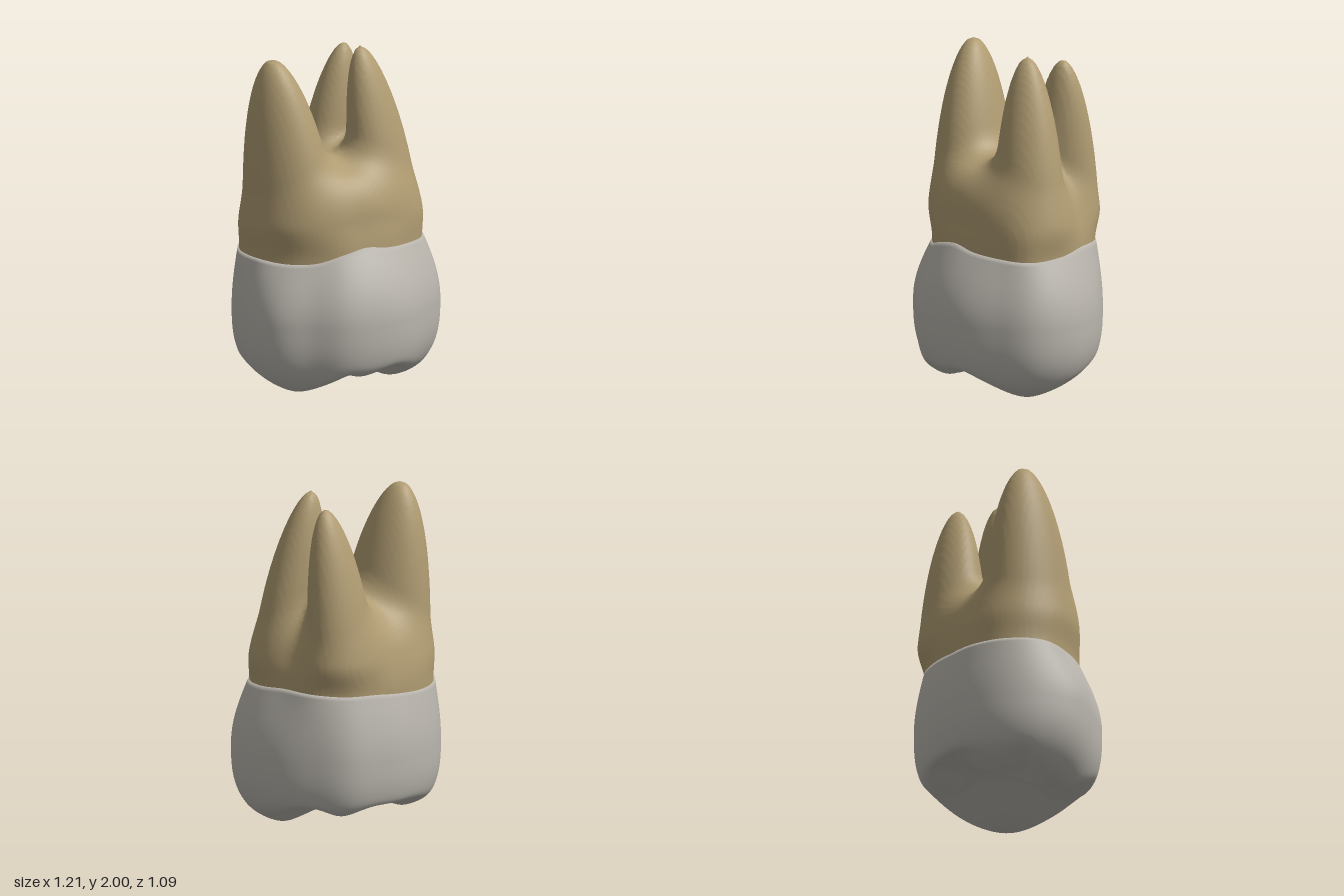
import * as THREE from 'three';

const { lerp, clamp, smoothstep } = THREE.MathUtils;
const TAU = Math.PI * 2;

// Outline radii and neck line heights every 22.5 degrees, from +x towards +z
const BULGE = [0.6, 0.635, 0.63, 0.565, 0.54, 0.525, 0.53, 0.53, 0.6, 0.605, 0.6, 0.575, 0.545, 0.54, 0.57, 0.57];
const NECK = [0.51, 0.525, 0.53, 0.45, 0.4, 0.38, 0.4, 0.43, 0.485, 0.55, 0.565, 0.53, 0.48, 0.475, 0.51, 0.53];
const NECK_LINE = [0.88, 0.86, 0.85, 0.86, 0.875, 0.9, 0.875, 0.83, 0.82, 0.83, 0.82, 0.82, 0.83, 0.85, 0.86, 0.875];

// Periodic cubic interpolation of a table around the tooth
function around(table, angle) {
  const n = table.length;
  const s = ((angle / TAU) % 1 + 1) % 1 * n;
  const i = Math.floor(s), t = s - i;
  const [a, b, c, d] = [-1, 0, 1, 2].map(k => table[(i + k + n) % n]);
  return b + 0.5 * t * (c - a + t * (2 * a - 5 * b + 4 * c - d + t * (3 * (b - c) + d - a)));
}

// Smooth minimum and maximum for soft blends
function smin(a, b, k) {
  const h = Math.max(k - Math.abs(a - b), 0) / k;
  return Math.min(a, b) - h * h * k / 4;
}
const smax = (a, b, k) => -smin(-a, -b, k);

// Chewing surface: each cusp is a rounded cone, the valleys between are grooves
const CUSPS = [
  { x: 0.28, y: 0.0, z: 0.22 },
  { x: -0.4, y: 0.01, z: 0.01 },
  { x: -0.24, y: 0.085, z: -0.28 },
  { x: 0.3, y: 0.13, z: -0.27 },
  { x: -0.16, y: 0.125, z: 0.3 },
];
function chewingHeight(x, z) {
  let h = 0.2;
  for (const c of CUSPS) {
    const d = Math.hypot(x - c.x, z - c.z);
    h = smin(h, c.y + 0.6 * d * d / (d + 0.08), 0.03);
  }
  return h - 0.015;
}

// Crown: closed rings from the neck over the bulge to the central pit
function crownGeometry() {
  const SEG = 112, SIDE = 18, UNDER = 44, MID = 0.46;
  const pos = [], idx = [];
  const rings = SIDE + UNDER + 2;
  for (let i = 0; i < rings; i++) {
    for (let j = 0; j < SEG; j++) {
      const a = j / SEG * TAU;
      const neck = around(NECK, a), bulge = around(BULGE, a), line = around(NECK_LINE, a);
      let r, y;
      if (i === 0) {
        r = neck * 0.9;
        y = line;
      } else if (i <= SIDE) {
        const t = (i - 1) / SIDE;
        r = lerp(neck, bulge, Math.sin(t * Math.PI / 2));
        y = lerp(line, MID, t);
      } else {
        const s = Math.max(Math.cos((i - 1 - SIDE) / UNDER * Math.PI / 2), 0.0001);
        r = bulge * s;
        const bowl = MID - 0.51 * Math.pow(1 - Math.pow(s, 2.8), 0.357);
        y = Math.max(0, smax(bowl, chewingHeight(r * Math.cos(a), r * Math.sin(a)), 0.05));
      }
      pos.push(r * Math.cos(a), y, r * Math.sin(a));
      if (i < rings - 1) {
        const p = i * SEG + j, q = i * SEG + (j + 1) % SEG;
        idx.push(p, q, p + SEG, q, q + SEG, p + SEG);
      }
    }
  }
  return toGeometry(pos, idx);
}

// Three tapering roots, each leaning from its base towards its tip
const ROOTS = [
  { tip: [-0.325, 2.0, -0.2], base: [-0.27, -0.11], r: [0.235, 0.3] },
  { tip: [0.18, 2.0, 0.06], base: [0.26, 0.18], r: [0.225, 0.19] },
  { tip: [0.3, 1.95, -0.15], base: [0.25, -0.24], r: [0.22, 0.185] },
];
function rootField(root, x, y, z) {
  const [tx, ty, tz] = root.tip;
  const u = clamp((y - 0.85) / (ty - 0.85), 0, 1);
  const lean = Math.pow(u, 1.5), taper = Math.pow(1 - u * u, 0.55);
  const rx = Math.max(root.r[0] * taper, 0.004), rz = Math.max(root.r[1] * taper, 0.004);
  const dx = (x - lerp(root.base[0], tx, lean)) / rx;
  const dz = (z - lerp(root.base[1], tz, lean)) / rz;
  return (Math.hypot(dx, dz) - 1) * Math.min(rx, rz) + Math.max(0, y - ty);
}

// Roots joined to a domed trunk that meets the crown along its neck outline
function rootsField(x, y, z) {
  const r = Math.hypot(x, z), neck = around(NECK, Math.atan2(z, x));
  const roots = ROOTS.map(root => rootField(root, x, y, z)).reduce((a, b) => smin(a, b, 0.06));
  const wall = r - neck * (0.95 - 0.14 * Math.max(0, y - 0.9));
  const dome = (y - 1.37 + 1.1 * r * r) * 0.75;
  const body = smin(roots, smax(wall, dome, 0.12), 0.13);
  return lerp(r - neck * 0.985, body, smoothstep(y, 0.84, 1.06));
}

// Skin the zero level of a field with a smooth quad net
function skinField(field, min, max, step) {
  const n = min.map((m, k) => Math.ceil((max[k] - m) / step) + 1);
  const stride = [1, n[0], n[0] * n[1]];
  const value = new Float32Array(n[0] * n[1] * n[2]);
  const cell = new Int32Array(value.length).fill(-1);
  const each = (from, fn) => {
    const end = n.map(v => (from ? v - 1 : v));
    for (let k = from; k < end[2]; k++)
      for (let j = from; j < end[1]; j++)
        for (let i = from; i < end[0]; i++) fn([i, j, k], i + j * stride[1] + k * stride[2]);
  };
  each(0, (g, id) => { value[id] = field(...g.map((v, k) => min[k] + v * step)); });

  // One vertex in every cell the surface passes through
  const pos = [], idx = [];
  each(0, (g, id) => {
    if (g.some((v, k) => v >= n[k] - 1)) return;
    const sum = [0, 0, 0];
    let hits = 0;
    for (let axis = 0; axis < 3; axis++) {
      const b = (axis + 1) % 3, c = (axis + 2) % 3;
      for (let e = 0; e < 4; e++) {
        const p = id + (e & 1) * stride[b] + (e >> 1) * stride[c];
        const v0 = value[p], v1 = value[p + stride[axis]];
        if ((v0 < 0) === (v1 < 0)) continue;
        sum[axis] += v0 / (v0 - v1);
        sum[b] += e & 1;
        sum[c] += e >> 1;
        hits++;
      }
    }
    if (!hits) return;
    cell[id] = pos.length / 3;
    for (let k = 0; k < 3; k++) pos.push(min[k] + (g[k] + sum[k] / hits) * step);
  });

  // One quad around every grid edge the surface crosses
  each(1, (g, id) => {
    for (let axis = 0; axis < 3; axis++) {
      const inside = value[id] < 0;
      if (inside === (value[id + stride[axis]] < 0)) continue;
      const b = stride[(axis + 1) % 3], c = stride[(axis + 2) % 3];
      const q = [id - b - c, id - c, id, id - b].map(p => cell[p]);
      if (!inside) q.reverse();
      idx.push(q[0], q[1], q[2], q[0], q[2], q[3]);
    }
  });
  return toGeometry(pos, idx);
}

function toGeometry(pos, idx) {
  const geometry = new THREE.BufferGeometry();
  geometry.setAttribute('position', new THREE.Float32BufferAttribute(pos, 3));
  geometry.setIndex(idx);
  geometry.computeVertexNormals();
  return geometry;
}

export function createModel() {
  const enamel = new THREE.MeshStandardMaterial({ color: 0xbab6ae });
  enamel.name = 'enamel';
  const dentine = new THREE.MeshStandardMaterial({ color: 0xb09c72 });
  dentine.name = 'dentine';

  const crown = new THREE.Mesh(crownGeometry(), enamel);
  crown.name = 'crown';
  const roots = new THREE.Mesh(skinField(rootsField, [-0.62, 0.76, -0.6], [0.62, 2.06, 0.56], 0.02), dentine);
  roots.name = 'roots';

  const model = new THREE.Group();
  model.name = 'molar';
  model.add(crown, roots);
  return model;
}
